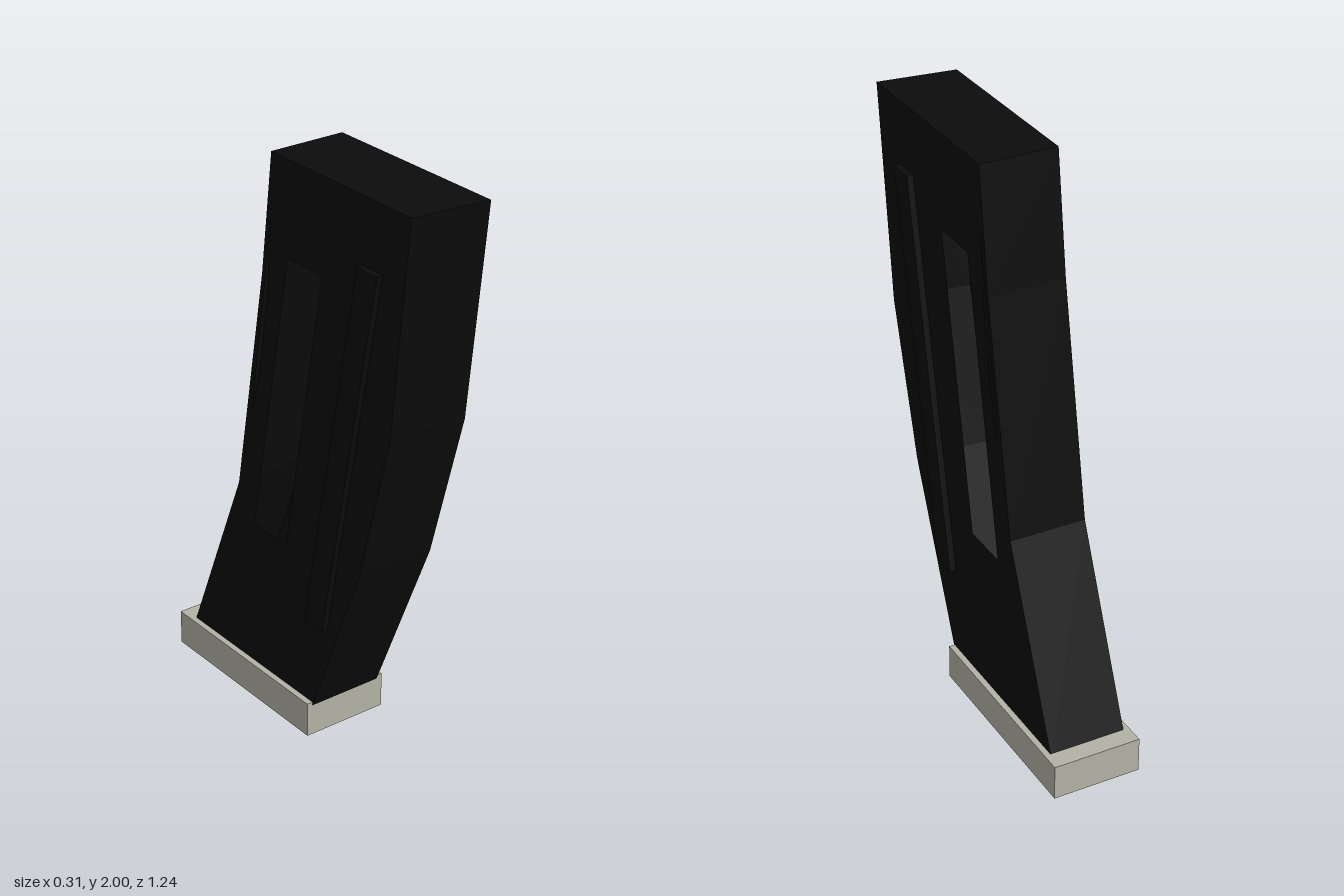
import * as THREE from 'three';

const HALF = 0.135; // half width of the body
// Outlines as [z, y]
const front = [[0.12, 0.11], [0.385, 0.73], [0.535, 1.26], [0.622, 2]];
const back = [[-0.08, 2], [-0.135, 1.58], [-0.28, 0.78], [-0.56, 0.11]];
const slot = [[0.175, 1.675], [0, 1.675], [-0.195, 0.66], [-0.02, 0.66]];
const gap = [[-0.087, 1.78], [-0.13, 1.5], [-0.166, 1.29], [-0.196, 1.08], [-0.145, 1.29], [-0.112, 1.5]];
const rib = [[0.2, 0.44], [0.105, 0.44], [0.37, 1.78], [0.465, 1.78]];

// Draws a [z, y] outline so that it faces +x (s = 1) or -x (s = -1) once turned
const toPoints = (pts, s) => pts.map(([z, y]) => new THREE.Vector2(-s * z, y));

// The front edge is slightly skewed towards the top on the -x side
function skew(geometry) {
  const p = geometry.attributes.position;
  for (let i = 0; i < p.count; i++) {
    const w = Math.max(0, p.getZ(i) - 0.12) / 0.5;
    p.setZ(i, p.getZ(i) - 0.03 * w * (HALF - p.getX(i)) / (2 * HALF));
  }
  geometry.computeVertexNormals();
  return geometry;
}

// Band of flat quads across the width, following a [z, y] path
function band(path) {
  const v = [];
  for (let i = 0; i < path.length - 1; i++) {
    const [z0, y0] = path[i], [z1, y1] = path[i + 1];
    const a = [-HALF, y0, z0], b = [HALF, y0, z0], c = [HALF, y1, z1], d = [-HALF, y1, z1];
    v.push(...a, ...b, ...c, ...a, ...c, ...d);
  }
  const g = new THREE.BufferGeometry();
  g.setAttribute('position', new THREE.Float32BufferAttribute(v, 3));
  return skew(g);
}

export function createModel() {
  const group = new THREE.Group();
  const black = new THREE.MeshStandardMaterial({ color: 0x0c0c0c, side: THREE.DoubleSide });
  black.name = 'black';
  const grey = new THREE.MeshStandardMaterial({ color: 0xb2b2a5 });
  grey.name = 'warm grey';

  const add = (name, geometry, material) => {
    const mesh = new THREE.Mesh(geometry, material);
    mesh.name = name;
    group.add(mesh);
    return mesh;
  };

  // Hollow curved body: front, top and back walls
  add('frontWall', band(front), black);
  add('topWall', band([front[3], back[0]]), black);
  add('backWall', band(back), black);

  for (const s of [1, -1]) {
    const side = s > 0 ? 'left' : 'right';

    // Side wall with the long slot and the narrow gap near the back
    const shape = new THREE.Shape(toPoints([...front, ...back], s));
    for (const hole of [slot, gap]) shape.holes.push(new THREE.Path(toPoints(hole, s)));
    const wall = new THREE.ShapeGeometry(shape).rotateY(s * Math.PI / 2).translate(s * HALF, 0, 0);
    add(side + 'SideWall', skew(wall), black);

    // Raised slanted rib
    const bar = new THREE.ExtrudeGeometry(new THREE.Shape(toPoints(rib, s)), { depth: 0.022, bevelEnabled: false });
    add(side + 'Rib', bar.rotateY(s * Math.PI / 2).translate(s * HALF, 0, 0), black);
  }

  // Base plate
  add('basePlate', new THREE.BoxGeometry(0.312, 0.125, 0.742), grey).position.set(0, 0.0625, -0.25);

  return group;
}
